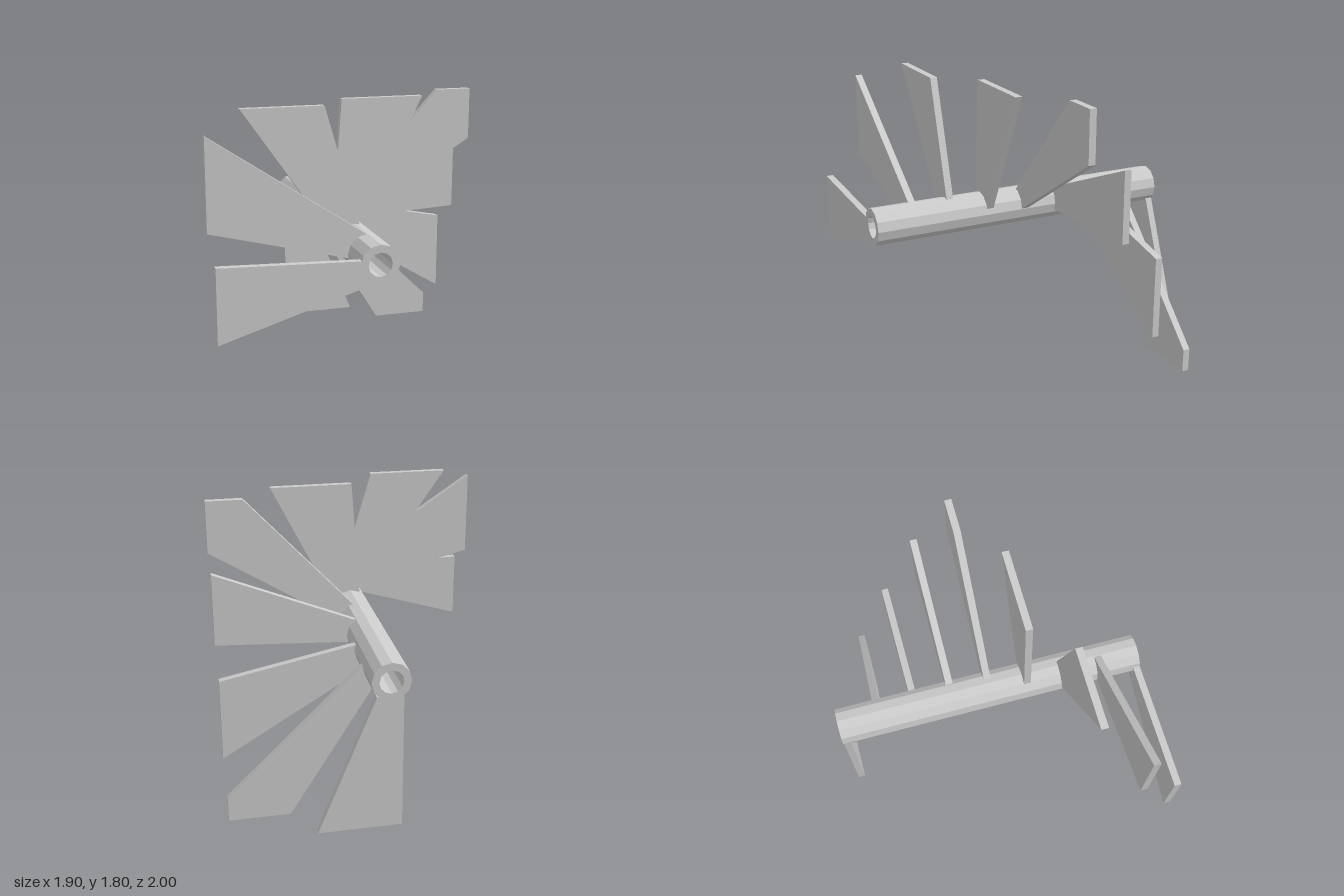
import * as THREE from 'three';

const AXIS_Y = 0.955;      // height of the column axis
const THICKNESS = 0.045;   // of each tread

// Outline of each tread, front to back: the first and last points sit on the
// column, the others are cut off by a square stairwell.
const OUTLINES = [
  [[-0.11, 0.985], [-0.95, 1.015], [-0.95, 0.565], [-0.03, 0.845]],
  [[0, 1.07], [-0.95, 1.7], [-0.95, 1.145], [-0.113, 0.933]],
  [[0.03, 1.07], [-0.19, 1.805], [-0.7, 1.805], [-0.11, 0.965]],
  [[0.112, 0.993], [0.52, 1.805], [-0.01, 1.805], [-0.063, 1.057]],
  [[0.12, 0.96], [0.95, 1.475], [0.95, 1.805], [0.72, 1.805], [0.03, 1.067]],
  [[0.11, 0.91], [0.95, 0.955], [0.95, 1.415], [0.065, 1.055]],
  [[0.035, 0.845], [0.95, 0.295], [0.95, 0.82], [0.11, 0.99]],
  [[0.04, 0.84], [0.57, 0], [0.95, 0], [0.95, 0.15], [0.11, 0.968]],
  [[-0.075, 0.865], [-0.075, 0], [0.44, 0], [0.086, 0.865]],
];

export function createModel() {
  const model = new THREE.Group();
  const material = new THREE.MeshStandardMaterial({ color: 0xcccccc, flatShading: true });

  // Hollow twelve-sided column lying along z
  const profile = [[0.12, -1], [0.12, 1], [0.073, 1], [0.073, -1], [0.12, -1]]
    .map(([r, y]) => new THREE.Vector2(r, y));
  const column = new THREE.Mesh(new THREE.LatheGeometry(profile, 12), material);
  column.name = 'column';
  column.rotation.x = Math.PI / 2;
  column.position.y = AXIS_Y;
  model.add(column);

  // Winding treads, evenly spaced along the column
  const treads = new THREE.Group();
  treads.name = 'treads';
  const step = (2 - THICKNESS) / (OUTLINES.length - 1);
  OUTLINES.forEach((outline, i) => {
    const shape = new THREE.Shape(outline.map(([x, y]) => new THREE.Vector2(x, y)));
    const geometry = new THREE.ExtrudeGeometry(shape, { depth: THICKNESS, bevelEnabled: false });
    const tread = new THREE.Mesh(geometry, material);
    tread.name = `tread${i + 1}`;
    tread.position.z = 1 - THICKNESS - i * step;
    treads.add(tread);
  });
  model.add(treads);

  return model;
}
